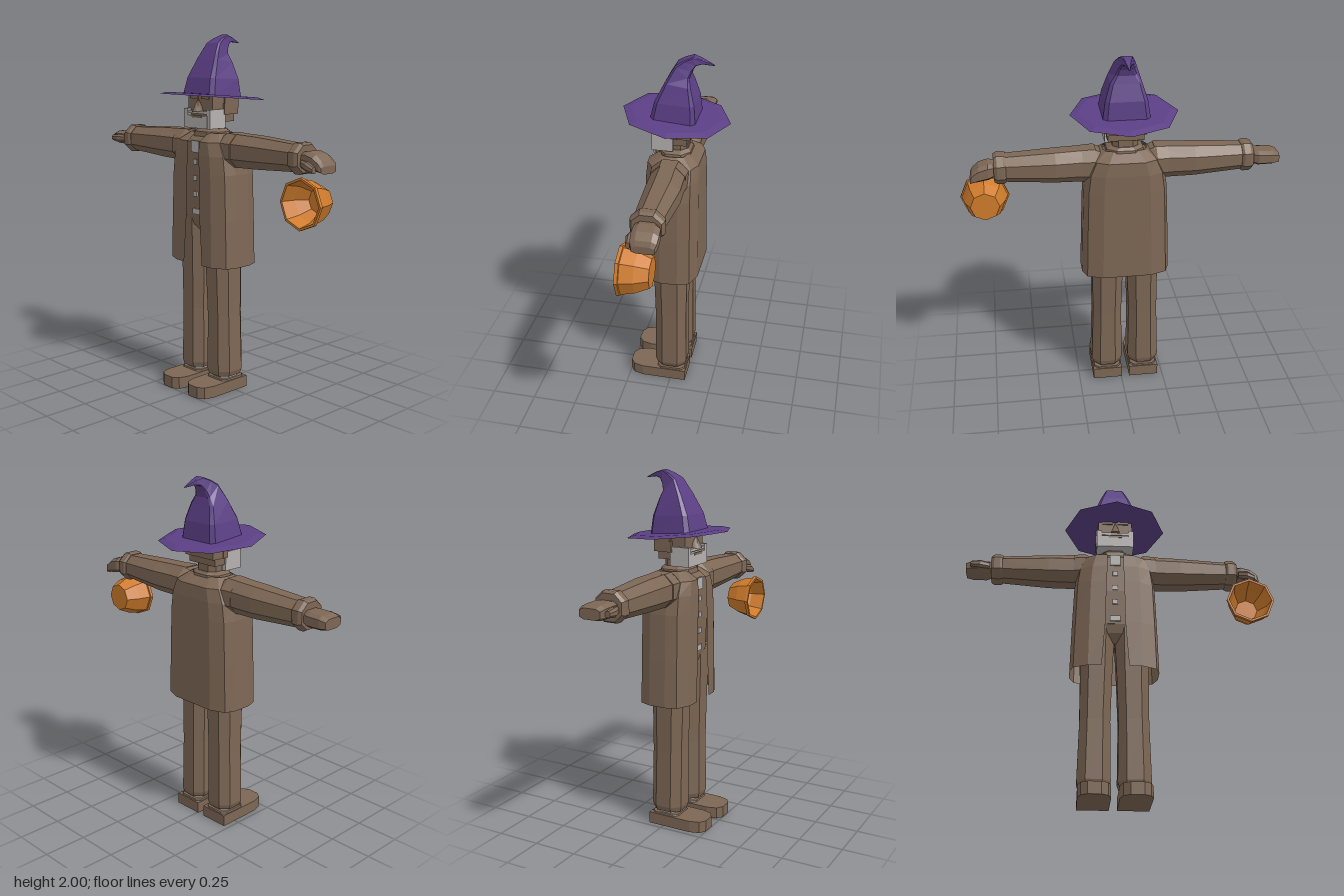
import * as THREE from 'three';

const mat = (name, color, flags = {}) => {
  const m = new THREE.MeshStandardMaterial({ color, ...flags });
  m.name = name;
  return m;
};

// Skin a stack of point rings with flat facets; closed rings also get end caps.
function skin(rings, closed = true) {
  const pos = [], n = rings[0].length;
  const tri = (...p) => p.forEach(q => pos.push(...q));
  for (let i = 0; i < rings.length - 1; i++) {
    for (let j = 0; j < (closed ? n : n - 1); j++) {
      const k = (j + 1) % n, a = rings[i], b = rings[i + 1];
      tri(a[j], a[k], b[k]);
      tri(a[j], b[k], b[j]);
    }
  }
  if (closed) {
    const a = rings[0], b = rings[rings.length - 1];
    for (let j = 1; j < n - 1; j++) {
      tri(a[0], a[j + 1], a[j]);
      tri(b[0], b[j], b[j + 1]);
    }
  }
  const g = new THREE.BufferGeometry();
  g.setAttribute('position', new THREE.Float32BufferAttribute(pos, 3));
  g.computeVertexNormals();
  return g;
}

// Chamfered-square sections, rows of [y, halfX, halfZ, centreX, centreZ, front rise].
function loft(rows, k = 0.45) {
  const uv = [[1, -k], [1, k], [k, 1], [-k, 1], [-1, k], [-1, -k], [-k, -1], [k, -1]];
  return skin(rows.map(([y, rx, rz, cx = 0, cz = 0, rise = 0]) =>
    uv.map(([u, v]) => [cx + rx * u, y - rise * v, cz - rz * v])));
}

export function createModel() {
  const brown = mat('brown cloth', 0x7d6755);
  const coatBrown = brown.clone();
  coatBrown.side = THREE.DoubleSide;
  const purple = mat('purple felt', 0x5b3f85);
  const orange = mat('orange bucket', 0xd07c2c);
  const grey = mat('grey hair', 0xb5b1b0);

  const model = new THREE.Group();
  const figure = new THREE.Group();
  figure.name = 'figure';
  figure.position.x = -0.027;
  model.add(figure);

  const add = (name, geo, m, x = 0, y = 0, z = 0, parent = figure) => {
    const mesh = new THREE.Mesh(geo, m);
    mesh.name = name;
    mesh.position.set(x, y, z);
    parent.add(mesh);
    return mesh;
  };
  const box = (name, m, w, h, d, x, y, z) => add(name, new THREE.BoxGeometry(w, h, d), m, x, y, z);

  // Legs, ankles and shoes
  for (const s of [-1, 1]) {
    add('trouserLeg', loft([
      [0.09, 0.08, 0.085, s * 0.108, 0.003], [0.12, 0.09, 0.093, s * 0.108, 0.003],
      [0.45, 0.083, 0.09, s * 0.105, 0.004], [0.73, 0.088, 0.096, s * 0.1, 0.006],
      [0.93, 0.098, 0.105, s * 0.1, 0.004], [1.02, 0.098, 0.105, s * 0.1, 0.004]], 0.5), brown);
    add('ankle', loft([[0.06, 0.062, 0.065], [0.1, 0.062, 0.065]], 0.5), grey, s * 0.108, 0, 0);
    const sole = new THREE.Shape([[-0.086, -0.09], [0.086, -0.09], [0.086, 0.17], [0.07, 0.225],
      [0.035, 0.25], [-0.035, 0.25], [-0.07, 0.225], [-0.086, 0.17]].map(p => new THREE.Vector2(p[0], -p[1])));
    const shoe = new THREE.ExtrudeGeometry(sole, { depth: 0.066, bevelEnabled: false }).rotateX(-Math.PI / 2);
    add('shoe', shoe, brown, s * 0.108);
    add('shoeInstep', loft([[0.06, 0.082, 0.085], [0.074, 0.076, 0.08]], 0.7), brown, s * 0.108);
  }

  // Shirt body, with the seat of the trousers below
  add('shirt', loft([[1.0, 0.17, 0.115], [1.2, 0.17, 0.125], [1.42, 0.16, 0.12], [1.465, 0.1, 0.07]], 0.55), brown);
  add('trouserSeat', loft([[0.9, 0.03, 0.06], [0.95, 0.09, 0.1], [1.01, 0.17, 0.115]], 0.55), brown);

  // Coat shell, open down the front: rows of [y, half width, depth, half gap]
  const coatRows = [[0.735, 0.248, 0.15, 0.075], [1.0, 0.24, 0.148, 0.055], [1.25, 0.23, 0.146, 0.05],
    [1.35, 0.215, 0.145, 0.045], [1.425, 0.18, 0.14, 0.045], [1.47, 0.12, 0.075, 0.05]];
  add('coat', skin(coatRows.map(([y, w, d, g]) => {
    const half = [[g, d], [0.6 * w, d * 0.98], [0.92 * w, d * 0.72], [w, d * 0.3], [w, -d * 0.35],
      [0.9 * w, -d * 0.78], [0.55 * w, -d]];
    const left = half.map(([x, z]) => [x, y, z]);
    return [...left, ...left.map(([x, , z]) => [-x, y, z]).reverse()];
  }), false), coatBrown);
  add('collar', loft([[1.44, 0.11, 0.09], [1.475, 0.1, 0.085], [1.49, 0.075, 0.07]], 0.5), brown);

  // Neckcloth, buttons and buckle
  box('neckcloth', grey, 0.06, 0.065, 0.008, 0, 1.395, 0.128);
  for (const y of [1.31, 1.22, 1.13]) box('button', grey, 0.03, 0.028, 0.008, 0, y, 0.128);
  box('buckle', grey, 0.058, 0.032, 0.008, 0, 1.03, 0.122);

  // Sleeves, cuffs and hands, lofted along y and then laid out sideways
  for (const s of [-1, 1]) {
    const arm = new THREE.Group();
    arm.name = s > 0 ? 'leftArm' : 'rightArm';
    arm.position.y = 1.383;
    figure.add(arm);
    const lay = (name, rows, k) =>
      add(name, loft(rows.map(([t, ry, rz, cy = 0, cz = 0]) => [t, ry, rz, -s * cy, cz]), k)
        .rotateZ(-s * Math.PI / 2), brown, 0, 0, 0, arm);
    lay('shoulder', [[0.12, 0.07, 0.08], [0.17, 0.093, 0.1], [0.235, 0.09, 0.095]]);
    lay('sleeve', [[0.16, 0.092, 0.09], [0.38, 0.086, 0.092, 0, -0.006], [0.66, 0.07, 0.075]]);
    lay('cuff', [[0.645, 0.074, 0.078], [0.658, 0.08, 0.087], [0.692, 0.08, 0.087], [0.71, 0.07, 0.076]]);
    if (s < 0) {
      lay('openHand', [[0.69, 0.033, 0.05], [0.74, 0.04, 0.068, -0.003, -0.012],
        [0.82, 0.038, 0.07, -0.003, -0.012], [0.855, 0.028, 0.06, -0.006, -0.012]], 0.6);
      lay('thumb', [[0.72, 0.02, 0.018, -0.005, 0.05], [0.77, 0.024, 0.022, -0.005, 0.067],
        [0.825, 0.016, 0.016, -0.005, 0.07]]);
    } else {
      lay('curledHand', [[0.69, 0.033, 0.05], [0.74, 0.045, 0.068, -0.001, -0.012],
        [0.79, 0.042, 0.07, -0.012, -0.012], [0.825, 0.03, 0.066, -0.03, -0.012],
        [0.838, 0.02, 0.058, -0.045, -0.012]], 0.6);
      lay('thumb', [[0.72, 0.02, 0.018, -0.02, 0.05], [0.77, 0.024, 0.022, -0.03, 0.065],
        [0.81, 0.016, 0.016, -0.045, 0.065]]);
    }
  }

  // Head, nose, ears and beard
  add('neck', loft([[1.44, 0.07, 0.065], [1.56, 0.07, 0.065]], 0.55), brown);
  box('head', brown, 0.196, 0.16, 0.165, 0, 1.61, 0.008);
  box('backHair', brown, 0.216, 0.11, 0.1, 0, 1.625, -0.046);
  const nose = new THREE.ConeGeometry(0.034, 0.07, 4, 1).rotateY(Math.PI / 4);
  add('nose', nose, brown, 0, 1.622, 0.105);
  for (const s of [-1, 1]) {
    box('ear', brown, 0.012, 0.06, 0.035, s * 0.106, 1.6, -0.005);
    box('sideWhisker', grey, 0.028, 0.105, 0.115, s * 0.092, 1.548, 0.058);
    box('eyebrow', brown, 0.06, 0.016, 0.01, s * 0.045, 1.663, 0.093);
  }
  box('beard', grey, 0.17, 0.07, 0.11, 0, 1.53, 0.062);
  box('moustache', grey, 0.16, 0.015, 0.025, 0, 1.582, 0.098);
  box('mouth', brown, 0.08, 0.014, 0.006, 0, 1.56, 0.116);

  // Hat: tilted octagonal brim and a squarish crown curling backward
  const brim = new THREE.CylinderGeometry(0.25, 0.293, 0.012, 8).toNonIndexed();
  brim.computeVertexNormals();
  add('hatBrim', brim, purple, 0, 1.668, 0).rotation.x = -0.085;
  const crown = [[0.12, 1.685, -0.12, 1.655, 0.128], [0.1, 1.77, -0.11, 1.76, 0.113],
    [0.05, 1.87, -0.085, 1.85, 0.084], [0, 1.955, -0.075, 1.89, 0.055],
    [-0.04, 1.98, -0.085, 1.925, 0.042], [-0.09, 2.0, -0.105, 1.955, 0.03],
    [-0.135, 1.987, -0.135, 1.962, 0.016], [-0.2, 1.958, -0.198, 1.954, 0.002]];
  add('hatCrown', loft(crown.map(([fz, fy, bz, by, w]) =>
    [(fy + by) / 2, w, (fz - bz) / 2, 0, (fz + bz) / 2, (fy - by) / 2]), 0.82), purple);

  // Hollow bucket lying on its side, mouth forward
  const profile = [[0, -0.04], [0.08, -0.04], [0.112, 0.03], [0.127, 0.1], [0.135, 0.102], [0.135, 0.12],
    [0.122, 0.12], [0.105, 0.04], [0.064, -0.02], [0, -0.02]].map(p => new THREE.Vector2(...p));
  const bucket = new THREE.LatheGeometry(profile, 8).rotateX(Math.PI / 2).toNonIndexed();
  bucket.computeVertexNormals();
  add('bucket', bucket, orange, 0.742, 1.17, 0, model);

  return model;
}
